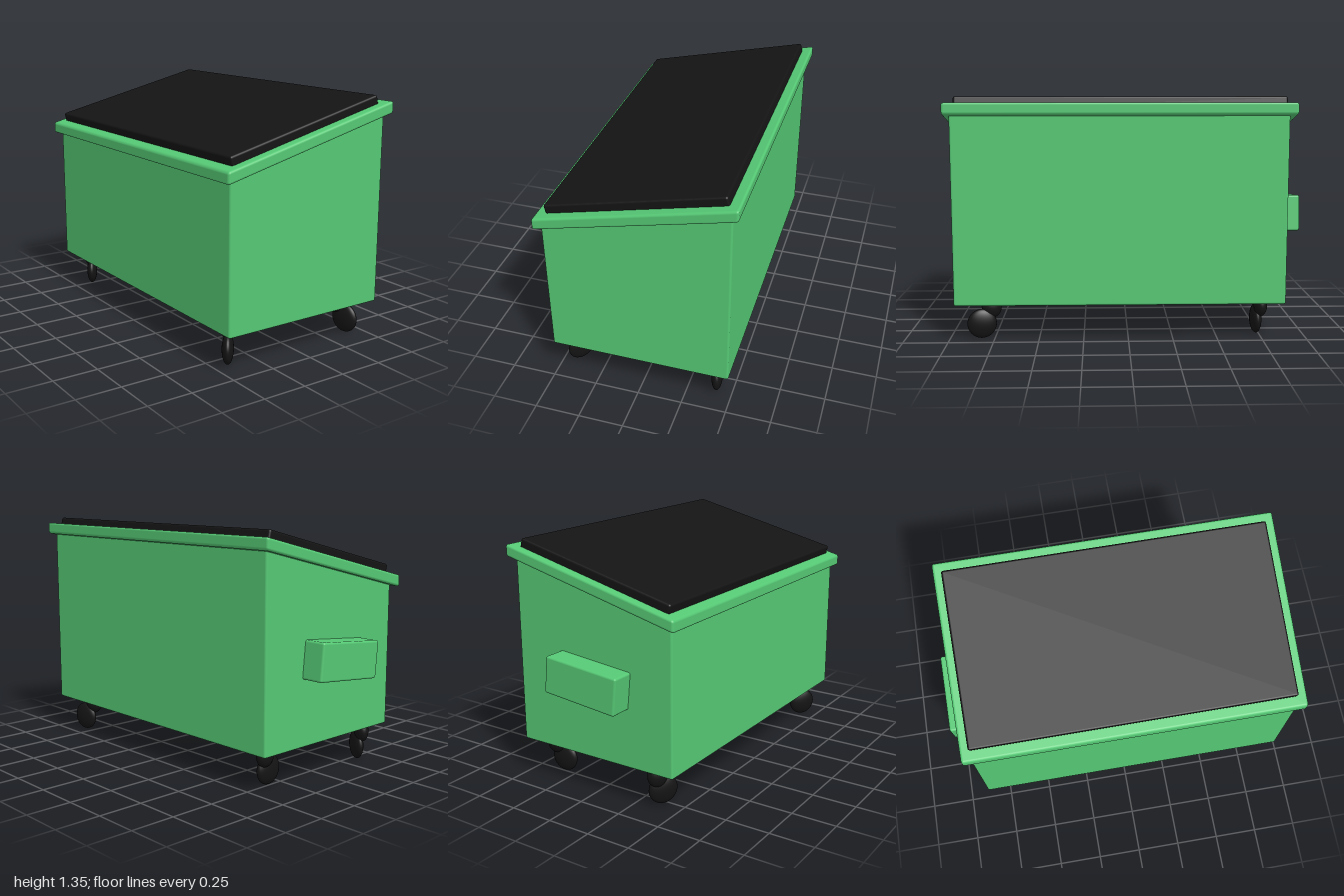
import * as THREE from 'three';
import { RoundedBoxGeometry } from 'three/addons/geometries/RoundedBoxGeometry.js';

const SLOPE = 0.243; // rise of the lid towards +x
const green = new THREE.MeshStandardMaterial({ color: 0x55c874 });
const black = new THREE.MeshStandardMaterial({ color: 0x141414 });

function add(parent, name, geometry, material, x, y, z) {
  const mesh = new THREE.Mesh(geometry, material);
  mesh.name = name;
  mesh.position.set(x, y, z);
  parent.add(mesh);
  return mesh;
}

// Box whose upper corners follow the slope
function createBodyGeometry(width, height, depth) {
  const geometry = new RoundedBoxGeometry(width, height, depth, 3, 0.012);
  const p = geometry.attributes.position;
  for (let i = 0; i < p.count; i++) {
    if (p.getY(i) > 0) p.setY(i, p.getY(i) + SLOPE * p.getX(i));
  }
  return geometry;
}

// Swivel caster: flattened wheel and fork, both turned about the vertical
function addCaster(parent, name, wheelPos, forkPos, angle) {
  const caster = new THREE.Group();
  caster.name = name;
  parent.add(caster);
  const sphere = new THREE.SphereGeometry(1, 32, 20);
  const wheel = add(caster, 'wheel', sphere, black, wheelPos[0], 0.083, wheelPos[1]);
  wheel.scale.set(0.032, 0.083, 0.082);
  const fork = add(caster, 'fork', sphere, black, forkPos[0], 0.172, forkPos[1]);
  fork.scale.set(0.038, 0.064, 0.056);
  wheel.rotation.y = fork.rotation.y = -THREE.MathUtils.degToRad(angle);
}

export function createModel() {
  const model = new THREE.Group();
  model.name = 'wheeledBin';

  // Container
  add(model, 'body', createBodyGeometry(1.005, 0.945, 1.84), green, -0.002, 0.6775, 0.045);

  // Sloping rim with upright ends
  const rim = new RoundedBoxGeometry(1.075, 0.066, 1.915, 3, 0.014);
  rim.applyMatrix4(new THREE.Matrix4().makeShear(SLOPE, 0, 0, 0, 0, 0));
  add(model, 'rim', rim, green, -0.002, 1.16, 0.042);

  // Lid
  const lid = add(model, 'lid', new RoundedBoxGeometry(0.985, 0.08, 1.81, 3, 0.012),
    black, -0.003, 1.2, 0.04);
  lid.rotation.z = Math.atan(SLOPE);

  // Slightly tilted lifting block on the back
  const handle = add(model, 'handle', new RoundedBoxGeometry(0.457, 0.207, 0.16, 3, 0.012),
    green, -0.012, 0.655, -0.92);
  handle.rotation.z = 0.095;

  // Casters, each swivelled its own way
  addCaster(model, 'frontRightCaster', [-0.405, 0.815], [-0.37, 0.77], 38);
  addCaster(model, 'frontLeftCaster', [0.405, 0.822], [0.378, 0.77], -10);
  addCaster(model, 'backRightCaster', [-0.373, -0.768], [-0.365, -0.808], 32);
  addCaster(model, 'backLeftCaster', [0.33, -0.735], [0.375, -0.755], 88);

  return model;
}
